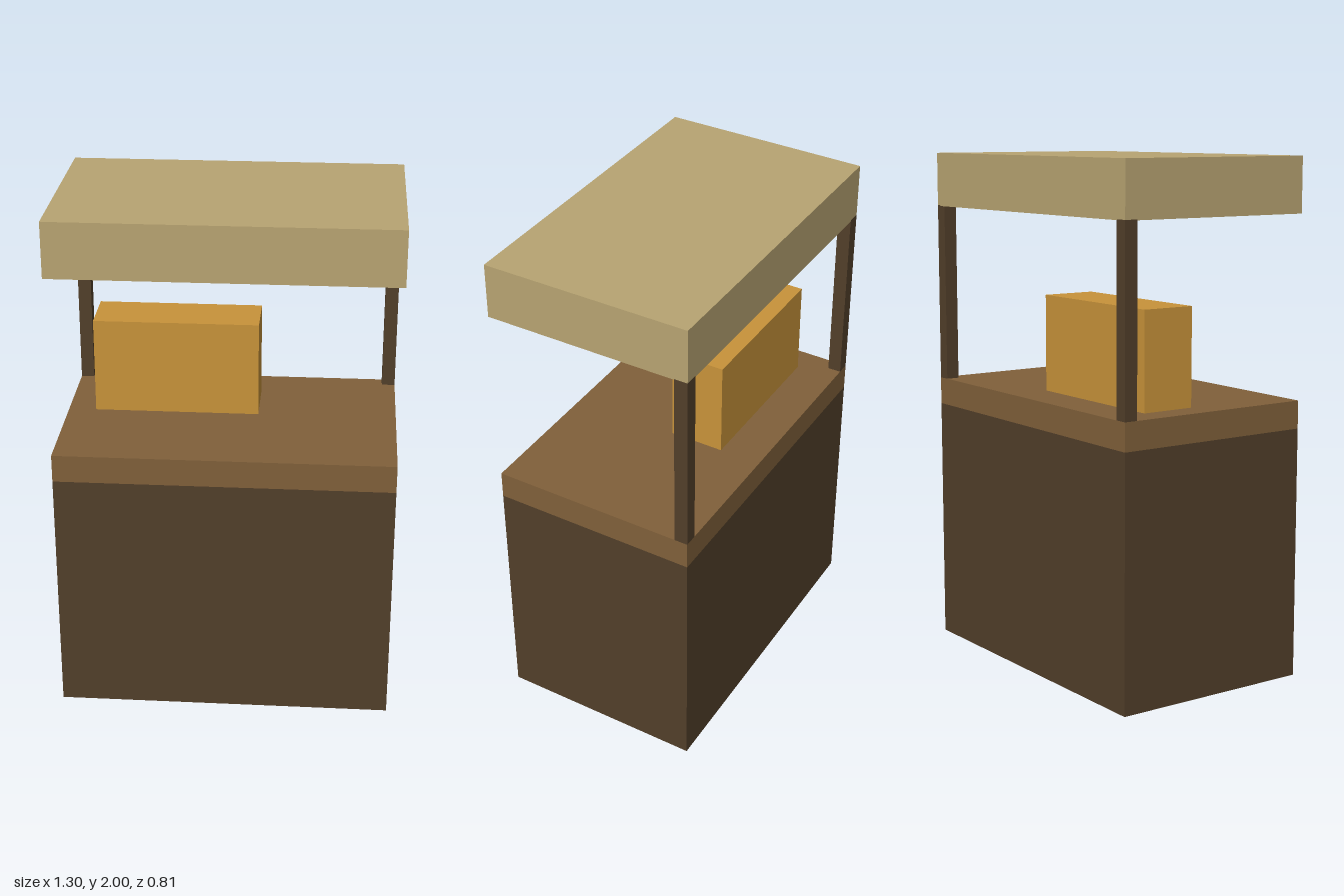
import * as THREE from 'three';

const W = 0.648, D = 0.405; // half width and half depth of the stall

function material(name, color) {
  const m = new THREE.MeshStandardMaterial({ color, side: THREE.DoubleSide });
  m.name = name;
  return m;
}

// Box given by its limits; faces listed in "open" (2 = top, 3 = bottom) are left out
function block(name, mat, [x0, x1], [y0, y1], [z0, z1], open = []) {
  const geo = new THREE.BoxGeometry(x1 - x0, y1 - y0, z1 - z0);
  const index = Array.from(geo.index.array);
  geo.setIndex(index.filter((_, i) => !open.includes(Math.floor(i / 6))));
  geo.clearGroups();
  const mesh = new THREE.Mesh(geo, mat);
  mesh.name = name;
  mesh.position.set((x0 + x1) / 2, (y0 + y1) / 2, (z0 + z1) / 2);
  return mesh;
}

export function createModel() {
  const group = new THREE.Group();
  group.name = 'marketStall';

  const darkWood = material('darkWood', 0x523f2a);
  const counterWood = material('counterWood', 0x80603a);
  const canvas = material('canvas', 0xb8a472);
  const amber = material('amber', 0xc8933a);

  // Hollow cabinet, open underneath, with the counter as its lid
  group.add(block('cabinet', darkWood, [-W, W], [0, 0.975], [-D, D], [2, 3]));
  group.add(block('counter', counterWood, [-W, W], [0.975, 1.083], [-D, D], [3]));

  // Two posts at the back corners
  group.add(block('rightPost', darkWood, [-W, -0.596], [1.083, 1.79], [-D, -0.352]));
  group.add(block('leftPost', darkWood, [0.596, W], [1.083, 1.79], [-D, -0.352]));

  // Flat roof
  group.add(block('roof', canvas, [-W, W], [1.787, 2], [-D, D]));

  // Crate standing on the counter
  group.add(block('crate', amber, [-0.54, 0.106], [1.083, 1.46], [-0.24, -0.025]));

  return group;
}
